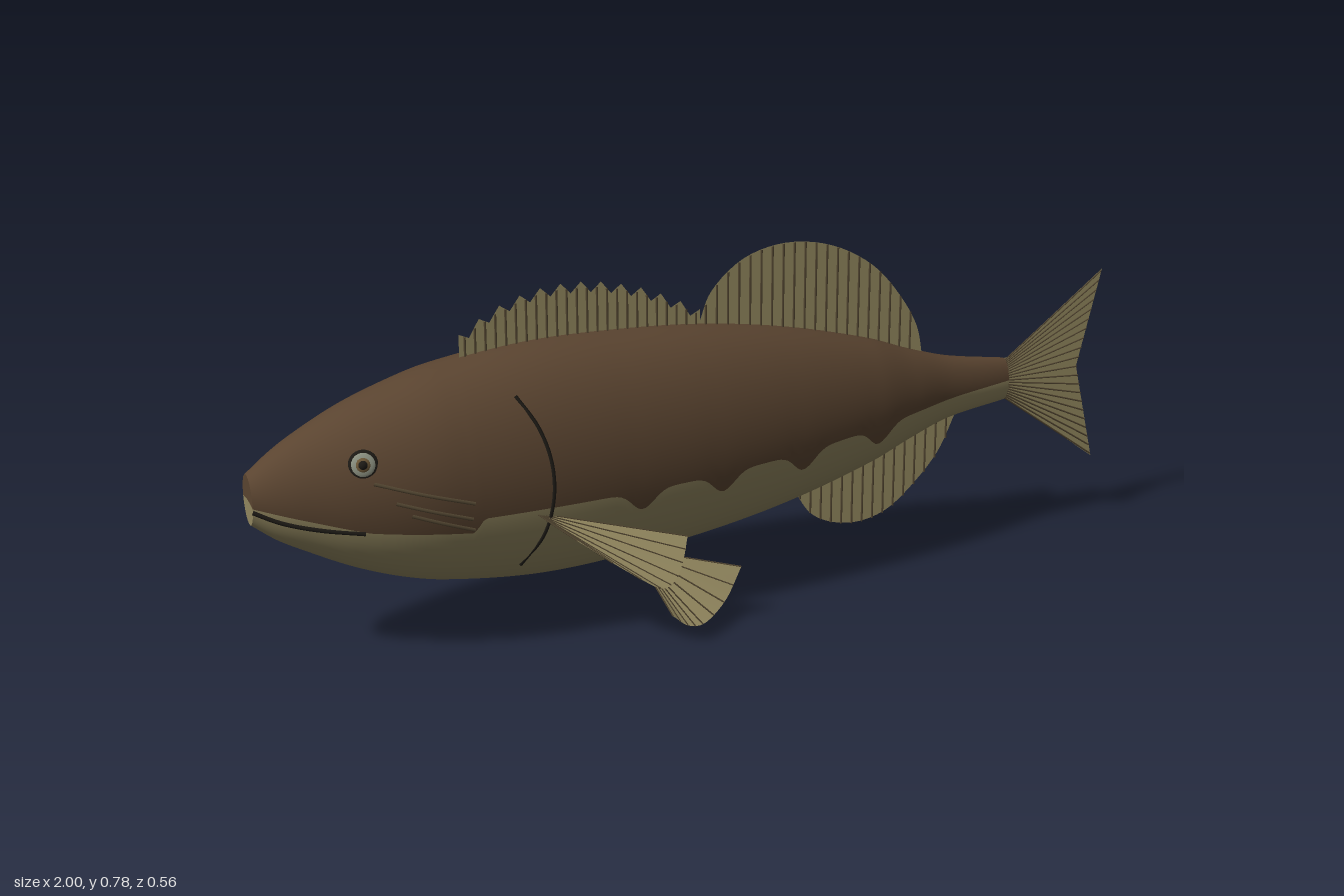
import * as THREE from 'three';
import { mergeGeometries } from 'three/addons/utils/BufferGeometryUtils.js';

const mat = (name, color, side = THREE.FrontSide) => {
  const m = new THREE.MeshStandardMaterial({ color, side });
  m.name = name;
  return m;
};
const V = (x, y, z = 0) => new THREE.Vector3(x, y, z);

// Body stations: x, top, bottom, half width
const STATIONS = [
  [-1, 0.44, 0.33, 0.04], [-0.95, 0.477, 0.29, 0.065], [-0.9, 0.507, 0.26, 0.087],
  [-0.8, 0.555, 0.207, 0.125], [-0.7, 0.59, 0.167, 0.152], [-0.6, 0.616, 0.141, 0.166],
  [-0.4, 0.64, 0.118, 0.175], [-0.2, 0.638, 0.124, 0.172], [0, 0.622, 0.145, 0.16],
  [0.2, 0.587, 0.182, 0.136], [0.4, 0.532, 0.238, 0.1], [0.5, 0.493, 0.277, 0.073],
  [0.6, 0.46, 0.31, 0.046], [0.75, 0.432, 0.332, 0.028],
];
const SEAM = [[-1, 0.38], [-0.78, 0.322], [-0.57, 0.3], [-0.55, 0.332], [-0.1, 0.335], [0.2, 0.345], [0.6, 0.375], [0.75, 0.387]];

// Interpolates a column of a table, smoothly or in straight pieces
function lookup(table, x, col, smooth) {
  const n = table.length;
  let i = 0;
  while (i < n - 2 && x > table[i + 1][0]) i++;
  const a = table[i], b = table[i + 1], w = b[0] - a[0];
  const t = THREE.MathUtils.clamp((x - a[0]) / w, 0, 1);
  if (!smooth) return a[col] + (b[col] - a[col]) * t;
  const slope = (k) => {
    const p = table[Math.max(k - 1, 0)], q = table[Math.min(k + 1, n - 1)];
    return (q[col] - p[col]) / (q[0] - p[0]);
  };
  const t2 = t * t, t3 = t2 * t;
  return (2 * t3 - 3 * t2 + 1) * a[col] + (3 * t2 - 2 * t3) * b[col]
    + w * ((t3 - 2 * t2 + t) * slope(i) + (t3 - t2) * slope(i + 1));
}
function section(x) {
  const top = lookup(STATIONS, x, 1, true), bottom = lookup(STATIONS, x, 2, true);
  return { top, bottom, cy: (top + bottom) / 2, hh: (top - bottom) / 2, hw: lookup(STATIONS, x, 3, true) };
}
// Scalloped border between back and belly colours
function seamY(x) {
  let y = lookup(SEAM, x, 1, false);
  for (const d of [-0.2, -0.01, 0.19, 0.39]) y -= 0.045 * Math.exp(-(((x - d) / 0.035) ** 2));
  return y;
}
// Point on the flank, s = +1 or -1 for the side
function flank(x, y, s, lift = 0) {
  const { cy, hh, hw } = section(x);
  return V(x, y, s * (hw * Math.sqrt(Math.max(0, 1 - ((y - cy) / hh) ** 2)) + lift));
}

function bodyGeometry() {
  const rows = 180, half = 28, n = half * 2, pos = [], upper = [], lower = [];
  for (let i = 0; i <= rows; i++) {
    const x = -1 + (1.75 * i) / rows, { cy, hh, hw } = section(x);
    const a = Math.asin(THREE.MathUtils.clamp((seamY(x) - cy) / hh, -0.95, 0.95));
    for (let j = 0; j < n; j++) {
      const th = j < half ? a + ((Math.PI - 2 * a) * j) / half
        : Math.PI - a + ((Math.PI + 2 * a) * (j - half)) / half;
      pos.push(x, cy + hh * Math.sin(th), hw * Math.cos(th));
    }
  }
  for (let i = 0; i < rows; i++) for (let j = 0; j < n; j++) {
    const k = (j + 1) % n, a = i * n + j, b = a + n, c = i * n + k, d = c + n;
    (j < half ? upper : lower).push(a, b, c, b, d, c);
  }
  // End caps with their own vertices
  for (const [row, flip] of [[0, false], [rows, true]]) {
    const start = pos.length / 3, { cy } = section(flip ? 0.75 : -1);
    for (let j = 0; j < n * 3; j++) pos.push(pos[row * n * 3 + j]);
    pos.push(flip ? 0.75 : -1, cy, 0);
    for (let j = 0; j < n; j++) {
      const p = start + j, q = start + ((j + 1) % n);
      (j < half && !flip ? upper : lower).push(start + n, flip ? q : p, flip ? p : q);
    }
  }
  const g = new THREE.BufferGeometry();
  g.setAttribute('position', new THREE.Float32BufferAttribute(pos, 3));
  g.setIndex([...upper, ...lower]);
  g.addGroup(0, upper.length, 0);
  g.addGroup(upper.length, lower.length, 1);
  g.computeVertexNormals();
  return g;
}

export function createModel() {
  const group = new THREE.Group();
  const back = mat('back brown', 0x5a4430), belly = mat('belly tan', 0x91865f);
  const fin = mat('fin tan', 0xa09468, THREE.DoubleSide), rayMat = mat('ray brown', 0x574a34);
  const dark = mat('dark line', 0x1d1a15), iris = mat('iris grey', 0x8b9080), eyeBrown = mat('eye brown', 0x6b5636);

  const add = (name, geo, material) => {
    const m = new THREE.Mesh(geo, material);
    m.name = name;
    group.add(m);
    return m;
  };
  const tube = (pts, r, seg = 24) => new THREE.TubeGeometry(new THREE.CatmullRomCurve3(pts), seg, r, 5);
  const rays = (name, pairs, r) => add(name, mergeGeometries(pairs.map(([a, b]) =>
    new THREE.TubeGeometry(new THREE.LineCurve3(a, b), 1, r, 4))), rayMat);

  add('body', bodyGeometry(), [back, belly]);

  // Upright fins: outer edge joined down (or up) to the body outline
  function medianFin(name, edge, key, step) {
    const base = (x) => section(x)[key] + (key === 'top' ? -0.02 : 0.02);
    const root = [...edge].reverse().map((p) => new THREE.Vector2(p.x, base(p.x)));
    const shape = new THREE.Shape([...edge.map((p) => new THREE.Vector2(p.x, p.y)), ...root]);
    add(name, new THREE.ShapeGeometry(shape).translate(0, 0, -0.001), fin);
    const table = edge.map((p) => [p.x, p.y]), pairs = [];
    for (let x = edge[0].x + 0.012; x < edge[edge.length - 1].x - 0.01; x += step)
      pairs.push([V(x, base(x), 0.002), V(x, lookup(table, x, 1, false), 0.002)]);
    rays(name + 'Rays', pairs, 0.0026);
  }
  const curve = (list, n) => new THREE.CatmullRomCurve3(list.map((p) => V(...p))).getPoints(n);

  // Spiny fin with a saw-tooth edge
  const crest = [[-0.54, 0.675], [-0.46, 0.722], [-0.36, 0.752], [-0.25, 0.752], [-0.15, 0.728], [-0.08, 0.698], [0, 0.655]];
  const spiny = [];
  for (let i = 0; i <= 24; i++) {
    const x = -0.54 + (0.54 * i) / 24;
    spiny.push(V(x, lookup(crest, x, 1, true) - (i % 2 ? 0.024 : 0)));
  }
  medianFin('spinyDorsalFin', spiny, 'top', 0.0225);
  medianFin('softDorsalFin', curve([[0, 0.63], [0.025, 0.69], [0.1, 0.755], [0.2, 0.778], [0.31, 0.758],
    [0.41, 0.7], [0.48, 0.62], [0.525, 0.54], [0.54, 0.47]], 40), 'top', 0.026);
  medianFin('analFin', curve([[0.23, 0.19], [0.27, 0.13], [0.32, 0.1], [0.39, 0.088], [0.46, 0.105],
    [0.53, 0.16], [0.59, 0.23], [0.63, 0.315]], 40), 'bottom', 0.026);

  // Forked tail
  const tail = new THREE.Shape();
  tail.moveTo(0.74, 0.43).lineTo(0.76, 0.432).lineTo(0.997, 0.613).lineTo(0.943, 0.383)
    .lineTo(0.997, 0.15).lineTo(0.76, 0.332).lineTo(0.74, 0.335);
  add('tailFin', new THREE.ShapeGeometry(tail).translate(0, 0, -0.001), fin);
  const tailRays = [];
  for (let i = 0; i <= 20; i++) {
    const t = i / 10 - 1, a = Math.abs(t);
    tailRays.push([V(0.752, 0.382 + t * 0.045, 0.002), V(0.943 + a * 0.05, 0.383 + t * 0.226, 0.002)]);
  }
  rays('tailRays', tailRays, 0.0018);

  // Fan-shaped paired fin from a root point and an outer edge
  function fanFin(name, root, edge, s, count) {
    const side = (p) => V(p[0], p[1], p[2] * s);
    const rim = new THREE.CatmullRomCurve3(edge.map(side)).getPoints(24), r = side(root);
    const g = new THREE.BufferGeometry().setFromPoints([r, ...rim]), idx = [];
    for (let i = 1; i < rim.length; i++) idx.push(0, i, i + 1);
    g.setIndex(idx);
    g.computeVertexNormals();
    add(name, g, fin);
    const pairs = [];
    for (let i = 0; i <= count; i++) pairs.push([r, rim[Math.round((24 * i) / count)]]);
    rays(name + 'Rays', pairs, 0.0016);
  }

  for (const s of [1, -1]) {
    const tag = s > 0 ? 'Front' : 'Back';
    fanFin('pectoralFin' + tag, [-0.44, 0.325, 0.165], [[-0.37, 0.272, 0.222], [-0.27, 0.2, 0.272],
      [-0.2, 0.155, 0.275], [-0.16, 0.16, 0.25], [-0.13, 0.19, 0.218], [-0.11, 0.223, 0.19]], s, 8);
    fanFin('pelvicFin' + tag, [-0.195, 0.165, 0.09], [[-0.14, 0.035, 0.18], [-0.105, 0.006, 0.18],
      [-0.07, 0.002, 0.18], [-0.02, 0.045, 0.18], [0.02, 0.123, 0.18]], s, 8);

    // Gill cover edge, mouth and cheek lines lie on the flank
    const onFlank = (list, lift) => list.map(([x, y]) => flank(x, y, s, lift));
    add('gillLine' + tag, tube(onFlank([[-0.46, 0.57], [-0.425, 0.51], [-0.405, 0.44], [-0.402, 0.36],
      [-0.42, 0.27], [-0.46, 0.19]], 0), 0.004, 40), dark);
    add('mouthLine' + tag, tube(onFlank([[-1, 0.372], [-0.95, 0.35], [-0.88, 0.333], [-0.79, 0.322]], 0), 0.005), dark);
    [[-0.77, 0.432, -0.57, 0.37], [-0.73, 0.388, -0.575, 0.335], [-0.7, 0.358, -0.57, 0.308]].forEach(([x1, y1, x2, y2], i) =>
      add('cheekLine' + tag + (i + 1), tube(onFlank([[x1, y1], [(x1 + x2) / 2, (y1 + y2) / 2], [x2, y2]], 0), 0.004), rayMat));

    // Eye: stacked shallow domes facing outwards
    const eye = new THREE.Group();
    eye.name = 'eye' + tag;
    eye.position.copy(flank(-0.785, 0.47, s, -0.002));
    eye.lookAt(eye.position.clone().add(V(-0.32, 0.3, s)));
    [['eyeRim', 0.031, 0.006, dark], ['iris', 0.027, 0.009, iris], ['eyeInner', 0.019, 0.012, eyeBrown], ['pupil', 0.013, 0.015, dark]]
      .forEach(([name, r, depth, m]) => {
        const dome = new THREE.Mesh(new THREE.SphereGeometry(1, 24, 12).scale(r, r, depth), m);
        dome.name = name;
        eye.add(dome);
      });
    group.add(eye);
  }
  return group;
}
